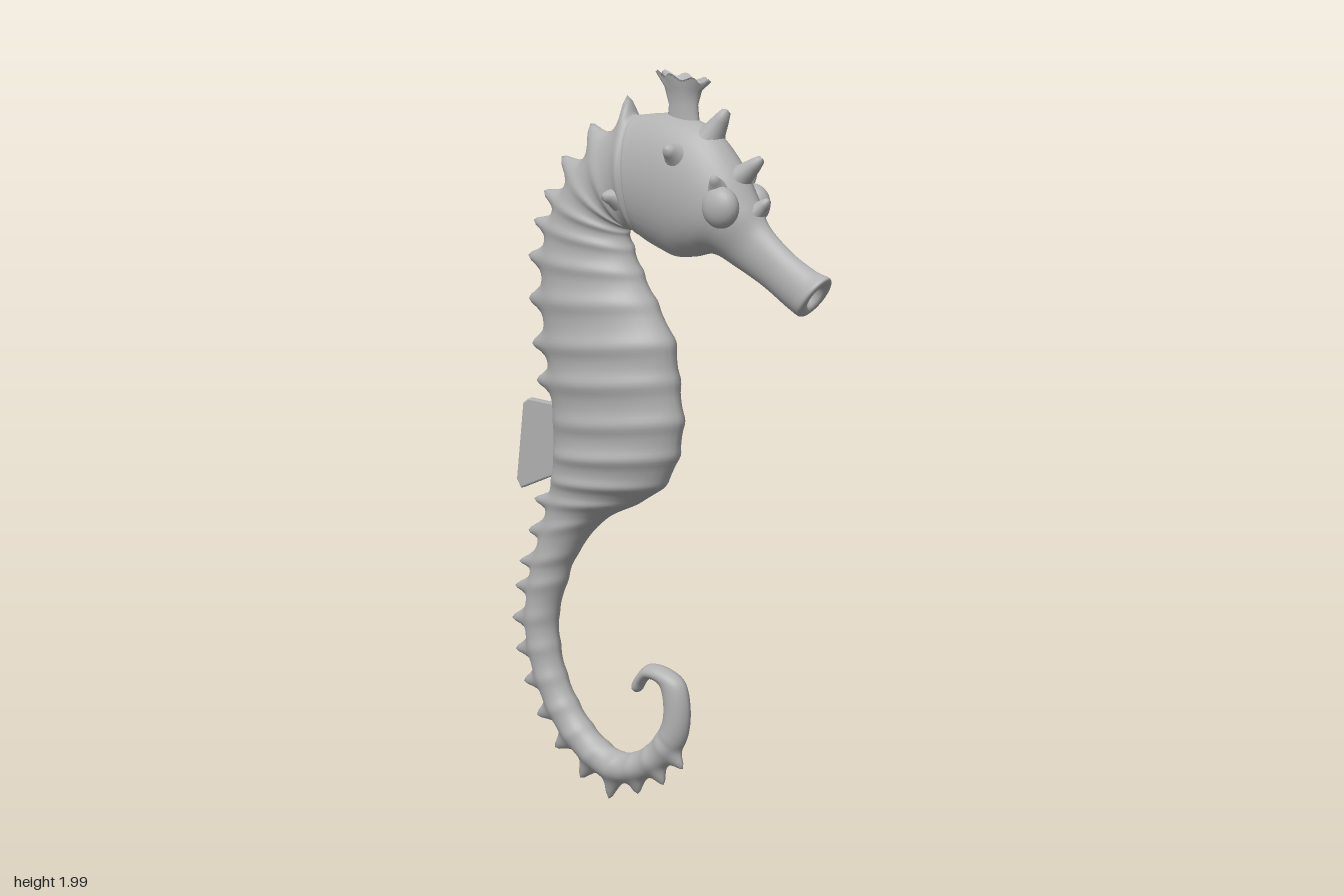
import * as THREE from 'three';

// Cross-sections: [back z, back y, front z, front y, half width]
const HEAD = [
  [0.452, 1.5, 0.44, 1.482, 0.008], // inside of the mouth
  [0.51, 1.495, 0.472, 1.437, 0.022],
  [0.53, 1.515, 0.455, 1.415, 0.044], // snout rim
  [0.49, 1.53, 0.42, 1.43, 0.039],
  [0.42, 1.57, 0.34, 1.48, 0.035],
  [0.35, 1.63, 0.26, 1.52, 0.042],
  [0.315, 1.69, 0.19, 1.55, 0.065],
  [0.26, 1.78, 0.13, 1.54, 0.085],
  [0.18, 1.86, 0.07, 1.535, 0.09],
  [0.07, 1.895, 0.02, 1.55, 0.087],
  [-0.045, 1.89, -0.03, 1.57, 0.08],
];
const TORSO = [
  [-0.09, 1.88, -0.055, 1.585, 0.078],
  [-0.195, 1.81, -0.085, 1.595, 0.07],
  [-0.275, 1.737, -0.095, 1.6, 0.068],
  [-0.33, 1.66, -0.1, 1.585, 0.07],
  [-0.365, 1.59, -0.085, 1.545, 0.073],
  [-0.385, 1.5, -0.055, 1.485, 0.08],
  [-0.385, 1.39, -0.01, 1.41, 0.09],
  [-0.375, 1.27, 0.05, 1.31, 0.098],
  [-0.36, 1.17, 0.065, 1.21, 0.1],
  [-0.35, 1.06, 0.08, 1.105, 0.096],
  [-0.35, 0.97, 0.065, 1.01, 0.096],
  [-0.36, 0.9, 0.02, 0.925, 0.086],
  [-0.375, 0.835, -0.07, 0.865, 0.07],
  [-0.4, 0.75, -0.19, 0.8, 0.055],
];
// The tail is given at every second ring
const TAIL = [
  [-0.435, 0.655, -0.285, 0.69, 0.048],
  [-0.465, 0.485, -0.355, 0.51, 0.044],
  [-0.425, 0.31, -0.33, 0.34, 0.043],
  [-0.32, 0.155, -0.24, 0.215, 0.043],
  [-0.155, 0.07, -0.13, 0.16, 0.042],
  [0.005, 0.13, -0.035, 0.2, 0.038],
  [0.1, 0.25, 0.025, 0.29, 0.034],
  [0.09, 0.4, 0.015, 0.38, 0.031],
  [-0.025, 0.432, -0.03, 0.387, 0.028],
  [-0.082, 0.365, -0.056, 0.35, 0.02],
];

function sample(rows, t) {
  const last = rows.length - 1;
  const i = Math.min(Math.floor(t), last - 1), f = t - i;
  const at = (k) => rows[Math.max(0, Math.min(last, k))];
  return rows[0].map((_, c) => {
    const [a, b, d, e] = [at(i - 1)[c], at(i)[c], at(i + 1)[c], at(i + 2)[c]];
    return b + 0.5 * f * (d - a + f * (2 * a - 5 * b + 4 * d - e + f * (3 * (b - d) + e - a)));
  });
}

// Body: one loft from snout to tail tip, with a ridge and a back spine on each ring
function bodyGeometry() {
  const tail = [];
  for (let t = 0; t <= TAIL.length - 1; t += 0.5) tail.push(sample(TAIL, t));
  const rows = [...HEAD, ...TORSO, ...tail, [-0.076, 0.345, -0.072, 0.343, 0.002]];
  const first = HEAD.length, finFrom = first + 9, finTo = first + 11;
  const spineEnd = first + TORSO.length + 11;
  const steps = 10, sides = 36, rings = (rows.length - 1) * steps;
  const pos = [], index = [];
  for (let r = 0; r <= rings; r++) {
    const t = r / steps, k = Math.round(t);
    const [bz, by, fz, fy, w] = sample(rows, t);
    const peak = Math.exp(-(((t - k) / 0.23) ** 2));
    const ringed = k >= first && k <= spineEnd;
    const ridge = ringed ? 0.1 * (peak - 0.4) : 0;
    const spined = ringed && !(k >= finFrom && k <= finTo);
    const spine = spined ? peak * (k > spineEnd - 3 ? 0.035 : 0.058) : 0;
    const cz = (bz + fz) / 2, cy = (by + fy) / 2, hz = bz - cz, hy = by - cy;
    const h = Math.hypot(hz, hy);
    for (let s = 0; s < sides; s++) {
      const a = (s / sides) * Math.PI * 2, ca = Math.cos(a), sa = Math.sin(a);
      const x = w * (1 + ridge) * Math.sign(sa) * Math.abs(sa) ** 1.15;
      const out = ca * (ca < 0 ? 1 + ridge * 0.3 : 1) + (spine / h) * Math.max(0, ca) ** 10;
      pos.push(x, cy + hy * out, cz + hz * out);
      if (r === rings) continue;
      const n = (s + 1) % sides, p = r * sides, q = p + sides;
      index.push(p + s, p + n, q + s, p + n, q + n, q + s);
    }
  }
  const g = new THREE.BufferGeometry();
  g.setAttribute('position', new THREE.Float32BufferAttribute(pos, 3));
  g.setIndex(index);
  g.computeVertexNormals();
  return g;
}

// Flared cup with a scalloped rim, higher at the back
function crownGeometry() {
  const profile = [[0.62, -0.02], [0.55, 0.03], [0.7, 0.07], [0.98, 0.095], [0.9, 0.1], [0.6, 0.07], [0, 0.055]];
  const g = new THREE.LatheGeometry(profile.map(([x, y]) => new THREE.Vector2(x, y)), 48);
  const p = g.attributes.position;
  for (let i = 0; i < p.count; i++) {
    const x = p.getX(i), y = p.getY(i), z = p.getZ(i);
    const rim = THREE.MathUtils.smoothstep(y, 0.05, 0.1);
    const wave = Math.cos(Math.atan2(x, z) * 7) * rim;
    const s = 1 + 0.09 * wave;
    p.setXYZ(i, x * 0.035 * s, y + 0.006 * wave - z * 0.012 * rim, z * 0.08 * s);
  }
  g.computeVertexNormals();
  return g;
}

export function createModel() {
  const model = new THREE.Group();
  const skin = new THREE.MeshStandardMaterial({ color: 0xb0b0b0 });
  skin.name = 'grey skin';
  const add = (name, geometry, x = 0, y = 0, z = 0) => {
    const mesh = new THREE.Mesh(geometry, skin);
    mesh.name = name;
    mesh.position.set(x, y, z);
    model.add(mesh);
    return mesh;
  };
  // Rounded spike with a flared foot, from base to tip
  const spike = (name, base, tip, r) => {
    const from = new THREE.Vector3(...base), dir = new THREE.Vector3(...tip).sub(from);
    const h = dir.length();
    const profile = [[1, 0], [0.65, 0.35], [0.45, 0.7], [0.28, 0.93], [0, 1]];
    const g = new THREE.LatheGeometry(profile.map(([a, b]) => new THREE.Vector2(a * r, b * h)), 16);
    add(name, g, ...base).quaternion.setFromUnitVectors(new THREE.Vector3(0, 1, 0), dir.normalize());
  };

  add('body', bodyGeometry());
  add('crown', crownGeometry(), 0, 1.888, 0.085);

  // Forehead spikes
  spike('upperForeheadSpike', [0, 1.83, 0.165], [0, 1.91, 0.222], 0.045);
  spike('middleForeheadSpike', [0, 1.735, 0.25], [0, 1.795, 0.33], 0.042);
  spike('lowerForeheadSpike', [0, 1.655, 0.305], [0, 1.695, 0.352], 0.032);

  // Eyes, cheek spikes and neck knobs
  for (const [side, s] of [['left', 1], ['right', -1]]) {
    add(side + 'Eye', new THREE.SphereGeometry(0.052, 24, 16), s * 0.066, 1.675, 0.252).scale.x = 0.65;
    spike(side + 'BrowSpike', [s * 0.055, 1.72, 0.235], [s * 0.088, 1.75, 0.245], 0.03);
    spike(side + 'CheekSpike', [s * 0.06, 1.795, 0.11], [s * 0.105, 1.815, 0.11], 0.04);
    spike(side + 'NeckKnob', [s * 0.055, 1.68, -0.09], [s * 0.092, 1.685, -0.105], 0.035);
  }

  // Back fin
  const outline = [[-0.3, 1.1], [-0.44, 1.107], [-0.458, 1.095], [-0.485, 0.88], [-0.472, 0.86], [-0.38, 0.9], [-0.3, 0.93]];
  const fin = new THREE.ExtrudeGeometry(new THREE.Shape(outline.map(([z, y]) => new THREE.Vector2(z, y))), {
    depth: 0.012, bevelThickness: 0.005, bevelSize: 0.004, bevelSegments: 2,
  });
  fin.translate(0, 0, -0.006);
  add('backFin', fin).rotation.y = -Math.PI / 2;

  return model;
}
